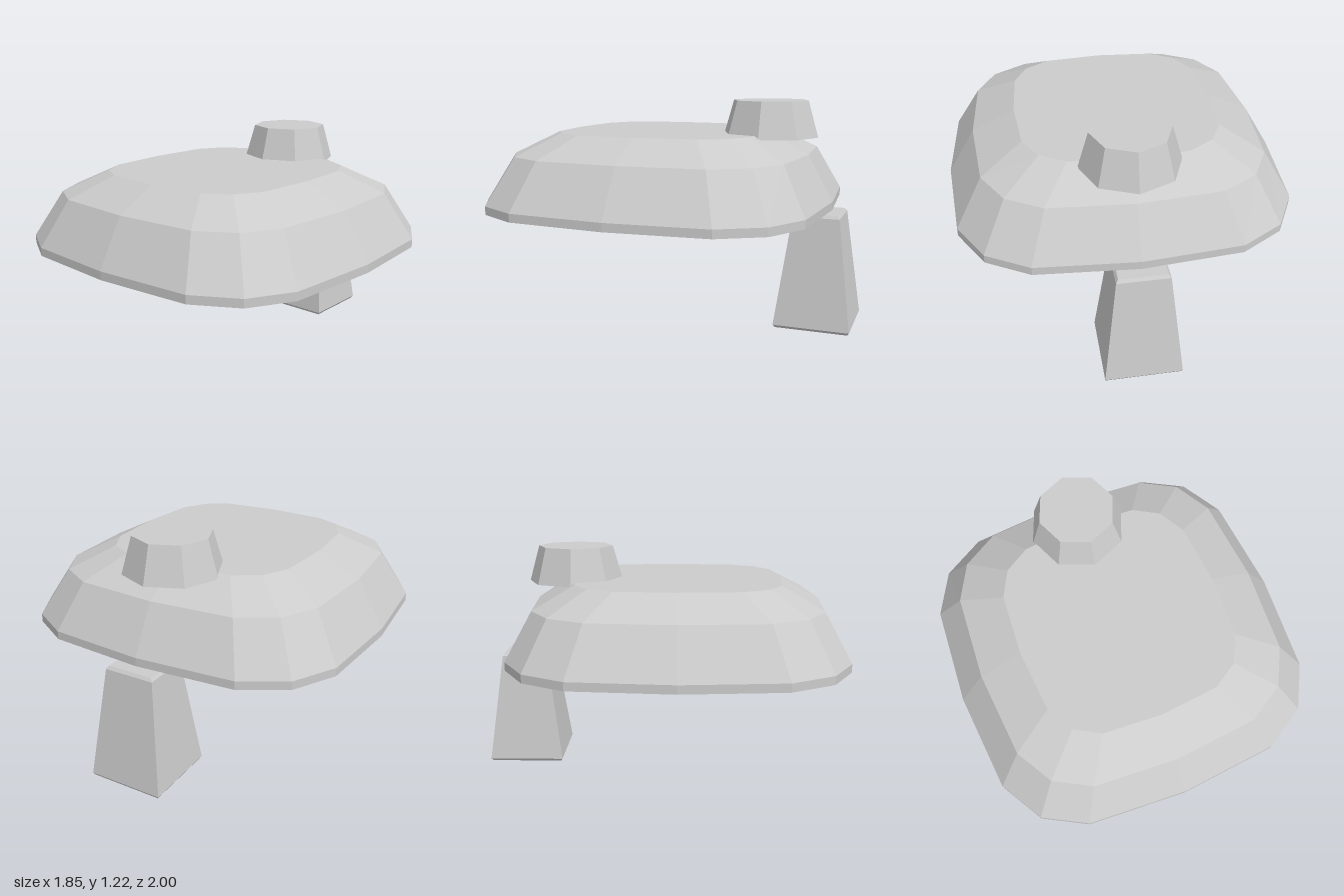
import * as THREE from 'three';

// Joins closed rings of [x, y, z] points (bottom to top), with optional flat end caps
function loft(rings, capBottom, capTop) {
  const pos = [];
  const n = rings[0].length;
  const centre = (ring) => [0, 1, 2].map((k) => ring.reduce((s, p) => s + p[k], 0) / n);
  const low = rings[0], high = rings[rings.length - 1];
  for (let i = 0; i < n; i++) {
    const j = (i + 1) % n;
    for (let r = 0; r < rings.length - 1; r++) {
      const a = rings[r], b = rings[r + 1];
      pos.push(...a[i], ...a[j], ...b[j], ...a[i], ...b[j], ...b[i]);
    }
    if (capTop) pos.push(...high[i], ...high[j], ...centre(high));
    if (capBottom) pos.push(...low[j], ...low[i], ...centre(low));
  }
  const geometry = new THREE.BufferGeometry();
  geometry.setAttribute('position', new THREE.Float32BufferAttribute(pos, 3));
  geometry.computeVertexNormals();
  return geometry;
}

// Rounded-square outline, counterclockwise seen from above, starting at the front
const quarter = [[0, 1], [0.573, 0.956], [0.82, 0.815], [0.956, 0.573]];
const outline = [];
for (let q = 0; q < 4; q++) {
  for (const [x, z] of quarter) {
    outline.push([[x, z], [z, -x], [-x, -z], [-z, x]][q]);
  }
}

const shellRing = (y, halfX, halfZ) => outline.map(([x, z]) => [x * halfX, y, z * halfZ + 0.07]);
const legRing = (y, halfX, halfZ) =>
  [[-1, 1], [1, 1], [1, -1], [-1, -1]].map(([x, z]) => [x * halfX, y, z * halfZ - 0.795]);

export function createModel() {
  const group = new THREE.Group();
  const add = (name, geometry, side = THREE.FrontSide) => {
    const material = new THREE.MeshStandardMaterial({ color: 0xcccccc, flatShading: true, side });
    const mesh = new THREE.Mesh(geometry, material);
    mesh.name = name;
    group.add(mesh);
    return mesh;
  };

  // Domed shell, open underneath
  add('shell', loft([
    shellRing(0.63, 0.927, 0.928),
    shellRing(0.675, 0.927, 0.928),
    shellRing(0.925, 0.777, 0.79),
    shellRing(1.04, 0.545, 0.573),
  ], false, true), THREE.DoubleSide);

  // Tapered eight-sided knob at the rear of the top
  add('knob', new THREE.CylinderGeometry(0.207, 0.264, 0.197, 8)).position.set(0, 1.1175, -0.506);

  // Tapered rear leg with small bevels at both ends
  add('leg', loft([
    legRing(0, 0.195, 0.195),
    legRing(0.015, 0.205, 0.205),
    legRing(0.607, 0.137, 0.125),
    legRing(0.623, 0.125, 0.113),
  ], true, true));

  return group;
}
